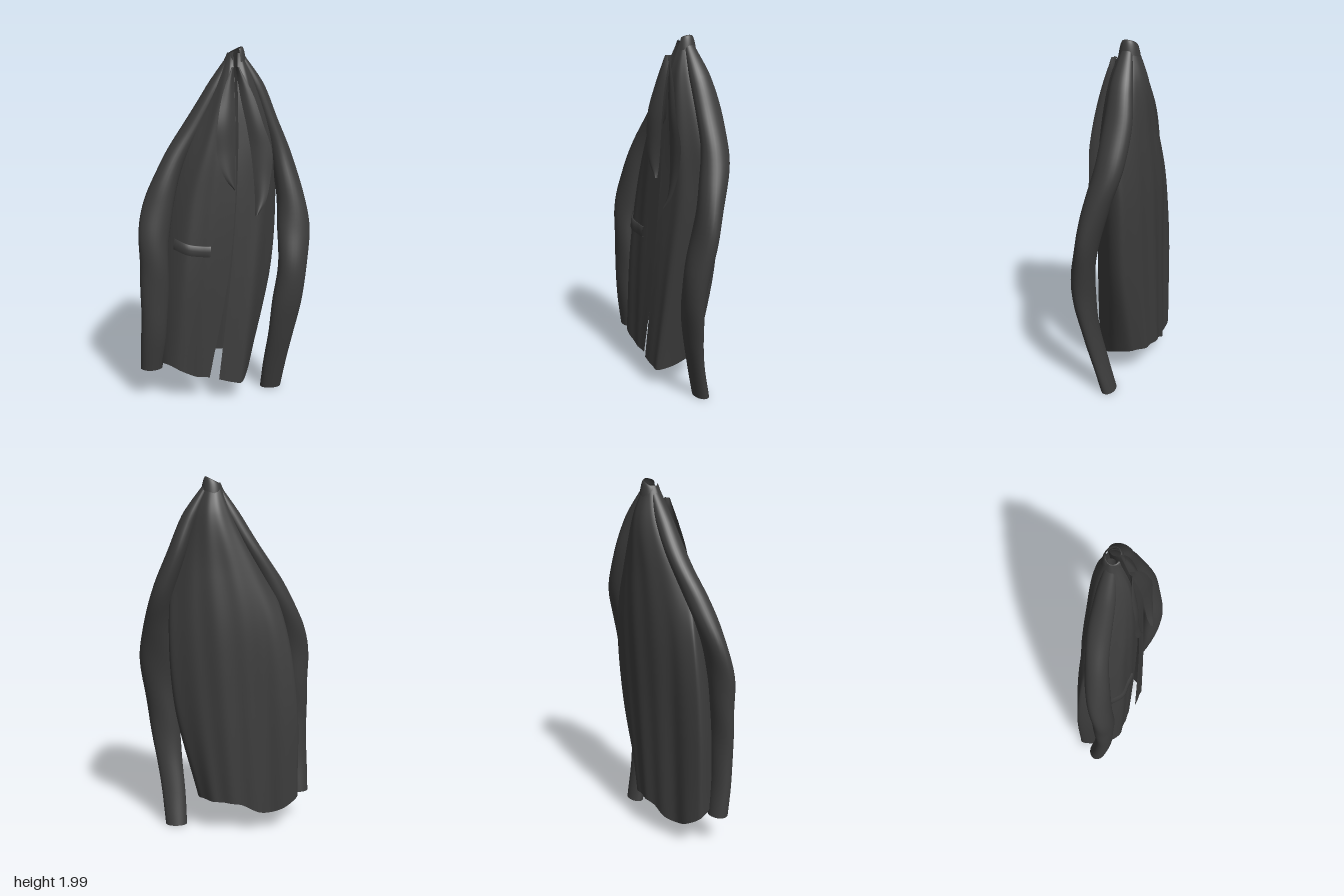
import * as THREE from 'three';
import { mergeVertices } from 'three/addons/utils/BufferGeometryUtils.js';

const cloth = new THREE.MeshStandardMaterial({ color: 0x3c3c3c, side: THREE.DoubleSide });
cloth.name = 'charcoalCloth';

// Smooth sheet: fn(u, v) gives a point, u runs around and v runs down
function sheet(name, nu, nv, fn) {
  const pos = [], idx = [];
  for (let j = 0; j <= nv; j++)
    for (let i = 0; i <= nu; i++) pos.push(...fn(i / nu, j / nv).toArray());
  for (let j = 0; j < nv; j++)
    for (let i = 0; i < nu; i++) {
      const a = j * (nu + 1) + i, b = a + 1, c = a + nu + 1, d = c + 1;
      idx.push(a, b, c, b, d, c);
    }
  let g = new THREE.BufferGeometry();
  g.setAttribute('position', new THREE.Float32BufferAttribute(pos, 3));
  g.setIndex(idx);
  g = mergeVertices(g, 1e-5);
  g.computeVertexNormals();
  const mesh = new THREE.Mesh(g, cloth);
  mesh.name = name;
  return mesh;
}

const V = (x, y, z) => new THREE.Vector3(x, y, z);
const curve = (pts) => new THREE.CatmullRomCurve3(pts);

// Body cross-sections [x, z], from the right front edge round the back to the left front edge
const levels = [1.97, 1.8, 1.5, 1.2, 0.75, 0.17];
const sections = [
  [.055, 0, .04, -.01, .033, -.025, .03, -.04, .045, -.065, .07, -.072, .1, -.06, .11, -.035, .1, -.01, .08, 0],
  [.053, .055, .02, .06, -.02, .035, -.05, -.03, -.01, -.1, .07, -.13, .15, -.1, .19, -.03, .14, .045, .07, .055],
  [.052, .095, -.04, .1, -.12, .07, -.22, -.03, -.12, -.12, .03, -.15, .18, -.13, .29, -.05, .2, .075, .068, .09],
  [.05, .11, -.09, .115, -.22, .08, -.33, -.07, -.2, -.13, 0, -.165, .18, -.145, .315, -.08, .22, .075, .055, .115],
  [.01, .12, -.14, .13, -.28, .11, -.4, -.09, -.22, -.13, -.03, -.165, .15, -.145, .29, -.07, .17, .11, .02, .135],
  [-.1, .13, -.19, .13, -.33, .11, -.41, -.09, -.24, -.13, -.06, -.165, .08, -.14, .16, -.05, .08, .15, -.05, .155],
];
const hem = [.155, .17, .24, .2, .12, .19, .2, .2, .12, .15];
const columns = hem.map((h, k) => curve(levels.map((y, j) =>
  V(sections[j][2 * k], j === 5 ? h : y, sections[j][2 * k + 1]))));

// Point on the body, with soft hanging folds, deepest on the left front panel
function bodyPoint(u, v) {
  const p = curve(columns.map((c) => c.getPoint(v))).getPoint(u);
  const leftFront = Math.exp(-(((u - 0.86) / 0.08) ** 2));
  p.z += v * Math.sin(u * 70 + v * 2) * (0.006 * Math.sin(u * Math.PI) + 0.007 * leftFront);
  return p;
}

// Sleeve rows: [y, centre x, centre z, half width, half depth]
function sleeve(name, rows) {
  const path = curve(rows.map((r) => V(r[1], r[0], r[2])));
  const size = curve(rows.map((r) => V(r[3], 0, r[4])));
  return sheet(name, 28, 60, (u, v) => {
    const a = -u * Math.PI * 2, p = path.getPoint(v), s = size.getPoint(v);
    const crease = 1 + 0.04 * Math.sin(v * 28 + 2 * a) * Math.sin(v * Math.PI);
    return V(p.x + s.x * crease * Math.cos(a), p.y, p.z + s.z * crease * Math.sin(a));
  });
}

// Lapel rows: [y, inner x, inner z, outer x, outer z]
function lapel(name, rows) {
  const inner = curve(rows.map((r) => V(r[1], r[0], r[2])));
  const outer = curve(rows.map((r) => V(r[3], r[0], r[4])));
  return sheet(name, 8, 32, (u, v) => {
    const p = inner.getPoint(v).lerp(outer.getPoint(v), u);
    p.z += 0.01 * Math.sin(u * Math.PI);
    return p;
  });
}

export function createModel() {
  const jacket = new THREE.Group();
  jacket.name = 'hangingJacket';

  jacket.add(sheet('body', 100, 50, bodyPoint));

  jacket.add(sleeve('leftSleeve', [
    [1.965, .1, -.037, .018, .025], [1.8, .19, -.045, .047, .06], [1.6, .266, -.055, .057, .075],
    [1.4, .338, -.04, .064, .08], [1.2, .382, .012, .08, .068], [1, .395, .06, .09, .062],
    [.8, .383, .1, .086, .06], [.6, .355, .107, .083, .055], [.4, .33, .085, .076, .042],
    [.2, .305, .045, .068, .038], [.01, .29, 0, .062, .04],
  ]));
  jacket.add(sleeve('rightSleeve', [
    [1.965, .052, -.037, .015, .022], [1.8, -.035, -.035, .047, .05], [1.6, -.152, -.03, .058, .06],
    [1.4, -.273, -.005, .068, .062], [1.2, -.357, .03, .083, .058], [1, -.395, .06, .085, .055],
    [.8, -.398, .07, .08, .055], [.6, -.4, .07, .077, .05], [.4, -.41, .06, .073, .05],
    [.2, -.425, .03, .063, .05],
  ]));

  // Lapels stand a little off the chest
  jacket.add(lapel('rightLapel', [
    [1.9, .05, .045, .035, .065], [1.75, .05, .075, -.02, .09], [1.6, .05, .095, -.05, .12],
    [1.45, .05, .105, -.055, .125], [1.32, .048, .115, -.015, .135], [1.25, .046, .125, .04, .13],
  ]));
  jacket.add(lapel('leftLapel', [
    [1.9, .06, .045, .075, .065], [1.75, .08, .075, .15, .09], [1.6, .11, .095, .2, .11],
    [1.45, .135, .105, .25, .115], [1.3, .15, .115, .24, .125], [1.18, .155, .13, .21, .145],
    [1.11, .15, .155, .165, .158],
  ]));

  // Collar band, open at the front, rising to the tied top
  jacket.add(sheet('collar', 36, 8, (u, v) => {
    const a = Math.PI * (0.62 + 1.76 * u), r = 0.035 + 0.022 * v;
    return V(.072 + r * 1.05 * Math.cos(a), 1.985 + .018 * Math.cos(a) - .07 * v * v, -.037 + r * Math.sin(a));
  }));

  // Welt pocket follows the right front panel
  const lift = [0, .01, .012, .01, 0], drop = [0, 0, .5, 1, 1];
  jacket.add(sheet('pocket', 16, 4, (u, v) => {
    const k = Math.round(v * 4);
    const p = bodyPoint(.088 + .155 * u, .72 - .018 * u * u + .025 * drop[k]);
    p.z += lift[k];
    return p;
  }));

  return jacket;
}
